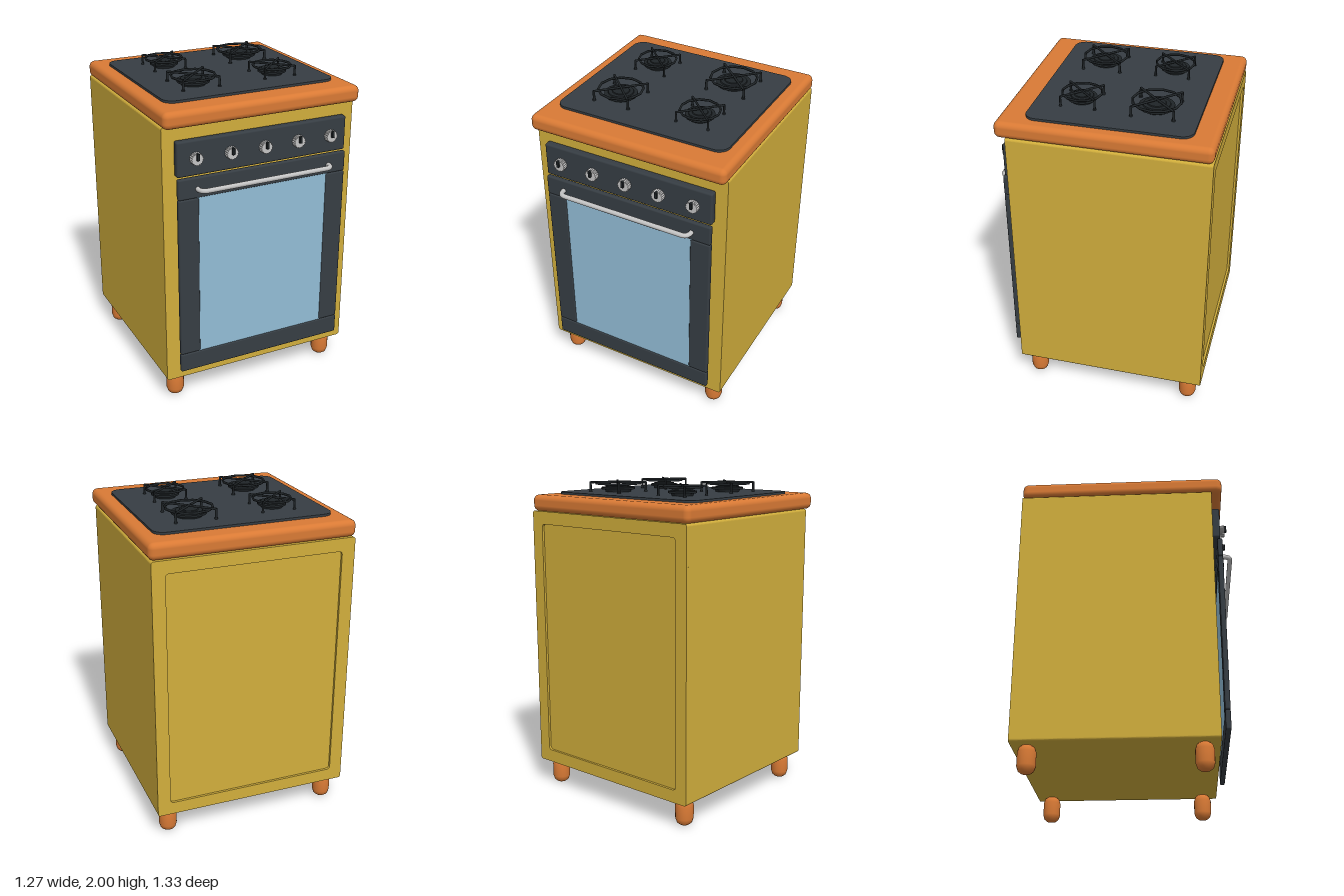
import * as THREE from 'three';
import { RoundedBoxGeometry } from 'three/addons/geometries/RoundedBoxGeometry.js';

const mat = (name, color) => {
  const m = new THREE.MeshStandardMaterial({ color });
  m.name = name;
  return m;
};

// Rounded rectangle outline centred on (x, y)
function roundRect(Type, w, h, r) {
  const s = new Type(), a = w / 2, b = h / 2;
  s.moveTo(-a + r, -b);
  s.lineTo(a - r, -b);
  s.absarc(a - r, -b + r, r, -Math.PI / 2, 0, false);
  s.lineTo(a, b - r);
  s.absarc(a - r, b - r, r, 0, Math.PI / 2, false);
  s.lineTo(-a + r, b);
  s.absarc(-a + r, b - r, r, Math.PI / 2, Math.PI, false);
  s.lineTo(-a, -b + r);
  s.absarc(-a + r, -b + r, r, Math.PI, Math.PI * 1.5, false);
  return s;
}

export function createModel() {
  const model = new THREE.Group();
  model.name = 'stove';
  const yellow = mat('yellow enamel', 0xd1ae3c);
  const orange = mat('orange trim', 0xd97a35);
  const dark = mat('dark panel', 0x363d43);
  const black = mat('black iron', 0x1f2427);
  const glass = mat('blue glass', 0x92bdd6);
  const steel = mat('steel', 0xc4c4c4);

  const add = (parent, name, geometry, material, x = 0, y = 0, z = 0) => {
    const mesh = new THREE.Mesh(geometry, material);
    mesh.name = name;
    mesh.position.set(x, y, z);
    parent.add(mesh);
    return mesh;
  };
  // Rounded block given by its limits
  const block = (parent, name, material, x0, x1, y0, y1, z0, z1, r) =>
    add(parent, name, new RoundedBoxGeometry(x1 - x0, y1 - y0, z1 - z0, 3, r), material,
      (x0 + x1) / 2, (y0 + y1) / 2, (z0 + z1) / 2);

  // Cabinet: solid core with a raised rim around the sunken back panel
  const bodyShape = roundRect(THREE.Shape, 1.254, 1.65, 0.015);
  const core = new THREE.ExtrudeGeometry(bodyShape, { depth: 1.19, bevelEnabled: false, curveSegments: 5 });
  add(model, 'cabinet', core, yellow, 0, 0.995, -0.65);
  const rimShape = roundRect(THREE.Shape, 1.254, 1.65, 0.015);
  rimShape.holes.push(roundRect(THREE.Path, 1.09, 1.49, 0.02));
  const rim = new THREE.ExtrudeGeometry(rimShape, { depth: 0.015, bevelEnabled: false, curveSegments: 5 });
  add(model, 'backRim', rim, yellow, 0, 0.995, -0.665);

  // Worktop and hob plate
  block(model, 'worktop', orange, -0.635, 0.635, 1.818, 1.92, -0.665, 0.607, 0.035);
  const hob = new THREE.ExtrudeGeometry(roundRect(THREE.Shape, 1.11, 0.98, 0.07),
    { depth: 0.015, bevelEnabled: false, curveSegments: 8 });
  hob.rotateX(-Math.PI / 2);
  add(model, 'hobPlate', hob, dark, 0, 1.919, -0.04);

  // Feet: squat pegs with rounded ends
  const footProfile = [[0, 0.005], [0.03, 0.008], [0.047, 0.022], [0.056, 0.05],
    [0.056, 0.13], [0.047, 0.158], [0.03, 0.172], [0, 0.175]].map(p => new THREE.Vector2(...p));
  const footGeo = new THREE.LatheGeometry(footProfile, 20);
  for (const x of [-0.537, 0.537])
    for (const z of [0.445, -0.57]) add(model, 'foot', footGeo, orange, x, 0, z);

  // Control panel and knobs
  block(model, 'controlPanel', dark, -0.555, 0.555, 1.525, 1.738, 0.54, 0.588, 0.012);
  const scallop = new THREE.Shape();
  for (let i = 0; i <= 72; i++) {
    const a = i / 72 * Math.PI * 2, r = 0.0355 + 0.0025 * Math.cos(a * 18);
    scallop[i ? 'lineTo' : 'moveTo'](Math.cos(a) * r, Math.sin(a) * r);
  }
  const knobGeo = new THREE.ExtrudeGeometry(scallop, { depth: 0.033, bevelEnabled: false });
  const pointerGeo = new RoundedBoxGeometry(0.017, 0.043, 0.022, 2, 0.004);
  for (let i = -2; i <= 2; i++) {
    const knob = new THREE.Group();
    knob.name = 'knob';
    knob.position.set(i * 0.221, 1.632, 0.587);
    add(knob, 'knobDial', knobGeo, steel);
    add(knob, 'knobPointer', pointerGeo, black, 0, 0.016, 0.036);
    model.add(knob);
  }

  // Oven door
  const door = new THREE.Group();
  door.name = 'ovenDoor';
  model.add(door);
  block(door, 'doorTopRail', dark, -0.555, 0.555, 1.39, 1.517, 0.568, 0.6, 0.01);
  block(door, 'doorBottomRail', dark, -0.555, 0.555, 0.245, 0.367, 0.568, 0.6, 0.01);
  for (const s of [-1, 1])
    block(door, 'doorStile', dark, s * 0.49 - 0.065, s * 0.49 + 0.065, 0.367, 1.39, 0.568, 0.6, 0.01);
  add(door, 'doorGlass', new THREE.BoxGeometry(0.87, 1.04, 0.02), glass, 0, 0.879, 0.584);

  // Handle with curved ends
  const path = new THREE.CurvePath(), v = (x, z) => new THREE.Vector3(x, 1.447, z);
  path.add(new THREE.LineCurve3(v(-0.435, 0.595), v(-0.435, 0.615)));
  path.add(new THREE.QuadraticBezierCurve3(v(-0.435, 0.615), v(-0.428, 0.65), v(-0.395, 0.65)));
  path.add(new THREE.LineCurve3(v(-0.395, 0.65), v(0.395, 0.65)));
  path.add(new THREE.QuadraticBezierCurve3(v(0.395, 0.65), v(0.428, 0.65), v(0.435, 0.615)));
  path.add(new THREE.LineCurve3(v(0.435, 0.615), v(0.435, 0.595)));
  add(door, 'doorHandle', new THREE.TubeGeometry(path, 120, 0.015, 10), steel);

  // Burners: stepped cap, twelve-sided ring and crossed bars on legs
  const capProfile = [[0.075, 0], [0.08, 0.014], [0.1, 0.016], [0.1, 0.028], [0.078, 0.03],
    [0.075, 0.036], [0.053, 0.037], [0.05, 0.042], [0, 0.042]].map(p => new THREE.Vector2(...p));
  const capGeo = new THREE.LatheGeometry(capProfile, 24).toNonIndexed();
  capGeo.computeVertexNormals();
  const ringGeo = new THREE.TorusGeometry(0.135, 0.0075, 6, 12).rotateX(Math.PI / 2);
  const legGeo = new THREE.CylinderGeometry(0.007, 0.008, 0.062, 8);
  const footPadGeo = new THREE.CylinderGeometry(0.01, 0.011, 0.008, 8);
  const barGeo = new THREE.CylinderGeometry(0.007, 0.007, 0.33, 8).rotateZ(Math.PI / 2);
  const burners = [[-0.265, -0.265, 0.88], [0.265, -0.265, 1.06], [-0.265, 0.18, 1], [0.265, 0.18, 0.88]];
  for (const [x, z, s] of burners) {
    const burner = new THREE.Group();
    burner.name = 'burner';
    burner.position.set(x, 1.934, z);
    burner.scale.set(s, 1, s);
    add(burner, 'burnerCap', capGeo, black);
    add(burner, 'grateRing', ringGeo, black, 0, 0.053, 0);
    for (let i = 0; i < 4; i++) {
      const a = Math.PI / 4 + i * Math.PI / 2, lx = Math.cos(a) * 0.165, lz = Math.sin(a) * 0.165;
      if (i < 2) add(burner, 'grateBar', barGeo, black, 0, 0.059, 0).rotation.y = a;
      add(burner, 'grateLeg', legGeo, black, lx, 0.031, lz);
      add(burner, 'grateFoot', footPadGeo, black, lx, 0.004, lz);
    }
    model.add(burner);
  }
  return model;
}
